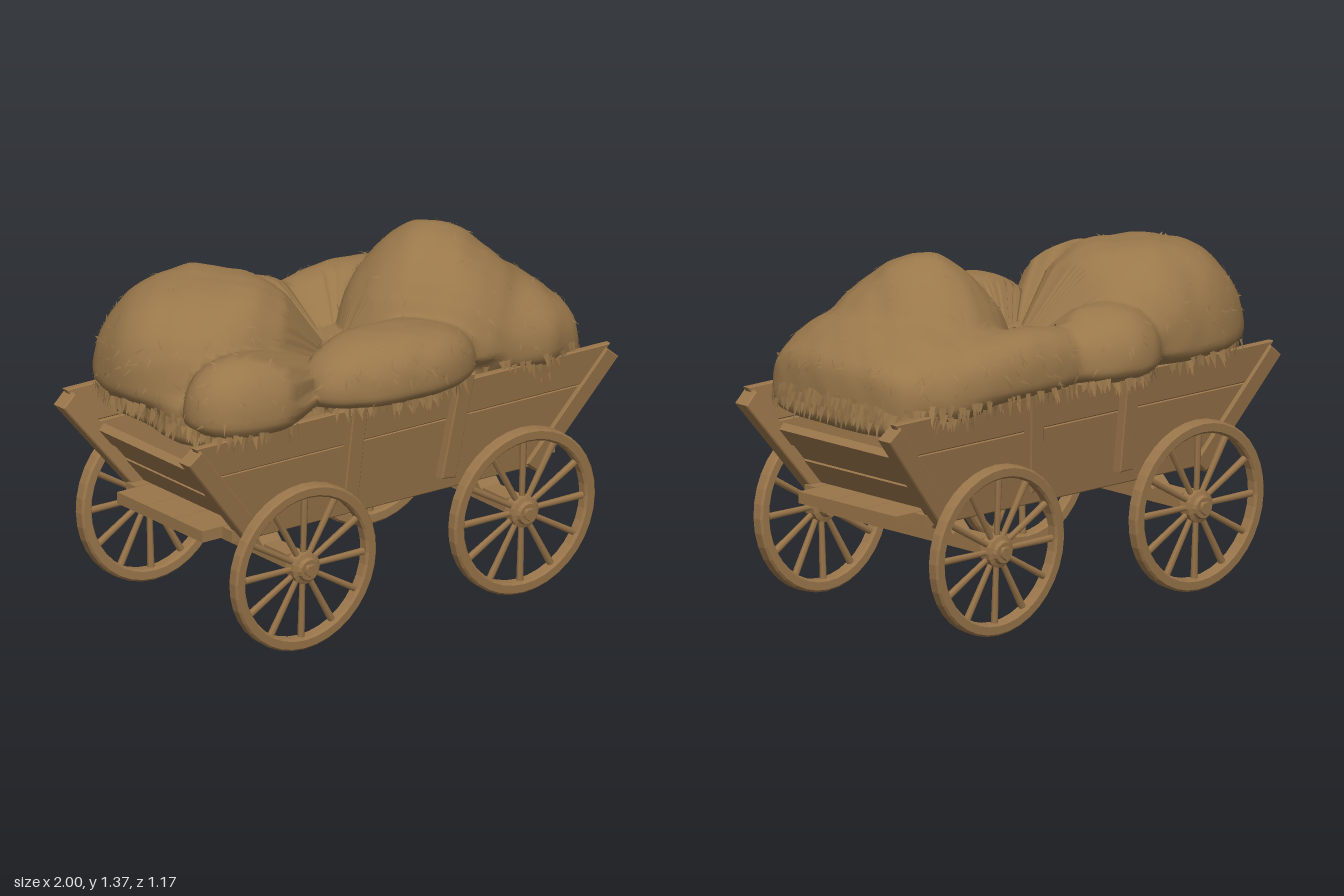
import * as THREE from 'three';
import { mergeVertices } from 'three/addons/utils/BufferGeometryUtils.js';

const wood = new THREE.MeshStandardMaterial({ color: 0x99754a });
wood.name = 'wood';
const hay = new THREE.MeshStandardMaterial({ color: 0x9a784b, side: THREE.DoubleSide });
hay.name = 'hay';

let seed = 7;
const rnd = () => (seed = (seed * 16807) % 2147483647) / 2147483647;

function add(parent, name, geo, mat = wood) {
  const m = new THREE.Mesh(geo, mat);
  m.name = name;
  parent.add(m);
  return m;
}

// Upright board drawn in x/y, leaning outward with height on the given side
function leaningBoard(points, thick, offset, side) {
  const shape = new THREE.Shape(points.map(p => new THREE.Vector2(p[0], p[1])));
  const b = 0.005;
  const geo = new THREE.ExtrudeGeometry(shape, { depth: thick - 2 * b, bevelSize: b, bevelOffset: -b, bevelThickness: b, bevelSegments: 1 });
  geo.translate(0, 0, b - thick / 2);
  const p = geo.attributes.position;
  for (let i = 0; i < p.count; i++)
    p.setZ(i, p.getZ(i) + side * (0.338 + offset + 0.135 * (p.getY(i) - 0.43)));
  geo.computeVertexNormals();
  return geo;
}

// Straight bar outline between two points
function bar(x0, y0, x1, y1, w) {
  const l = Math.hypot(x1 - x0, y1 - y0);
  const nx = -(y1 - y0) / l * w / 2, ny = (x1 - x0) / l * w / 2;
  return [[x0 + nx, y0 + ny], [x0 - nx, y0 - ny], [x1 - nx, y1 - ny], [x1 + nx, y1 + ny]];
}

function makeWheel() {
  const g = new THREE.Group();
  g.name = 'wheel';
  // Rim
  const ring = new THREE.Shape().absarc(0, 0, 0.328, 0, Math.PI * 2);
  ring.holes.push(new THREE.Path().absarc(0, 0, 0.281, 0, Math.PI * 2, true));
  const rim = new THREE.ExtrudeGeometry(ring, { depth: 0.036, bevelSize: 0.008, bevelOffset: -0.008, bevelThickness: 0.008, bevelSegments: 1, curveSegments: 18 });
  rim.translate(0, 0, -0.018);
  add(g, 'rim', rim);
  // Spokes
  for (let i = 0; i < 12; i++) {
    const s = new THREE.CylinderGeometry(0.014, 0.011, 0.25, 6);
    s.translate(0, 0.165, 0);
    s.rotateZ(i * Math.PI / 6);
    add(g, 'spoke', s);
  }
  // Hub and axle nut
  const profile = [[0, -0.06], [0.036, -0.06], [0.042, -0.03], [0.062, -0.024], [0.062, 0.024], [0.046, 0.03], [0.04, 0.045], [0, 0.045]];
  const hub = new THREE.LatheGeometry(profile.map(p => new THREE.Vector2(...p)), 16).toNonIndexed();
  hub.computeVertexNormals();
  add(g, 'hub', hub.rotateX(Math.PI / 2));
  add(g, 'axleNut', new THREE.CylinderGeometry(0.026, 0.03, 0.02, 5).rotateX(Math.PI / 2).translate(0, 0, 0.048));
  return g;
}

// Hay mounds that melt together: centre, radii (x, up, down, z), squareness
const mounds = [
  [[0, 0.86, 0], [0.84, 0.13, 0.1, 0.37], 5],           // bed
  [[-0.52, 0.95, -0.14], [0.39, 0.36, 0.1, 0.37], 2.3], // left back
  [[-0.67, 0.95, 0.34], [0.25, 0.22, 0.08, 0.17], 2.3], // left front
  [[-0.03, 0.96, 0.36], [0.36, 0.18, 0.08, 0.2], 2.5],  // middle front
  [[0.41, 0.95, 0.04], [0.37, 0.405, 0.1, 0.38], 1.8],  // peak
  [[0.6, 0.92, -0.01], [0.28, 0.25, 0.12, 0.46], 2.4],  // right end
  [[0.73, 0.88, 0], [0.17, 0.19, 0.11, 0.39], 4],       // right end drape
  [[-0.13, 0.95, -0.38], [0.22, 0.2, 0.08, 0.2], 2.2],  // middle back
  [[0.32, 0.95, -0.35], [0.4, 0.17, 0.08, 0.15], 2.5],  // right back
];

// Blended mound field, positive inside the hay
function field(v) {
  let sum = 0;
  for (const [c, r, p] of mounds) {
    const dy = v.y - c[1];
    const n = (Math.abs((v.x - c[0]) / r[0]) ** p + Math.abs(dy / (dy > 0 ? r[1] : r[2])) ** p + Math.abs((v.z - c[2]) / r[3]) ** p) ** (1 / p);
    sum += Math.exp(-22 * (n - 1));
  }
  const { x, y, z } = v;
  return Math.log(sum + 1e-30)
    + 0.7 * Math.sin(9 * x + 5 * z + 1) * Math.sin(8 * z - 6 * y) + 0.35 * Math.sin(19 * x - 9 * y) * Math.sin(17 * z + 7 * x)
    + 0.12 * Math.sin(47 * x + 20 * y) * Math.sin(43 * z - 30 * y);
}

// Outermost hay point from the middle of the load in direction d
const core = new THREE.Vector3(0, 0.9, 0);
function hayPoint(d) {
  const at = t => core.clone().addScaledVector(d, t);
  let t = 1.15;
  while (t > 0.04 && field(at(t)) < 0) t -= 0.02;
  let lo = t, hi = t + 0.02;
  for (let i = 0; i < 7; i++) {
    const mid = (lo + hi) / 2;
    if (field(at(mid)) < 0) hi = mid; else lo = mid;
  }
  return at(lo);
}

function hayNormal(v) {
  const e = 0.01, f = field(v);
  const step = (x, y, z) => f - field(new THREE.Vector3(v.x + x, v.y + y, v.z + z));
  return new THREE.Vector3(step(e, 0, 0), step(0, e, 0), step(0, 0, e)).normalize();
}

function hayGeometry() {
  let geo = new THREE.SphereGeometry(1, 180, 120);
  geo.deleteAttribute('uv');
  geo.deleteAttribute('normal');
  geo = mergeVertices(geo);
  const p = geo.attributes.position, d = new THREE.Vector3();
  for (let i = 0; i < p.count; i++) {
    const q = hayPoint(d.fromBufferAttribute(p, i).normalize());
    p.setXYZ(i, q.x, q.y, q.z);
  }
  geo.computeVertexNormals();
  return geo;
}

// Loose stalks lying on the hay, or a fringe hanging from its rim
function strawGeometry(count, fringe) {
  const out = [];
  for (let i = 0; i < count; i++) {
    // even spread over the long rectangular load
    const ang = rnd() * Math.PI * 2;
    const reach = fringe ? 1 : Math.sqrt(rnd());
    const d = new THREE.Vector3(
      Math.cos(ang) * 0.9 * reach,
      fringe ? -0.06 + rnd() * 0.08 : 0.35 * (1.05 - reach) + rnd() * 0.1,
      Math.sin(ang) * 0.6 * reach).normalize();
    const base = hayPoint(d);
    const n = hayNormal(base);
    const dir = fringe
      ? new THREE.Vector3(d.x * 0.15 + (rnd() - 0.5) * 0.4, -1, d.z * 0.15 + (rnd() - 0.5) * 0.4).normalize()
      : new THREE.Vector3(rnd() - 0.5, rnd() - 0.5, rnd() - 0.5).cross(n).normalize().addScaledVector(n, 0.2);
    const across = new THREE.Vector3().crossVectors(dir, n).normalize().multiplyScalar(fringe ? 0.012 : 0.005);
    const tip = base.clone().addScaledVector(dir, fringe ? 0.03 + rnd() * 0.04 : 0.025 + rnd() * 0.025);
    base.addScaledVector(n, 0.002);
    out.push(...base.clone().add(across), ...base.clone().sub(across), ...tip);
  }
  const geo = new THREE.BufferGeometry();
  geo.setAttribute('position', new THREE.Float32BufferAttribute(out, 3));
  geo.computeVertexNormals();
  return geo;
}

export function createModel() {
  const model = new THREE.Group();
  model.name = 'hayCart';

  // Floor: three long planks forming the end ledges, two short outer ones
  for (let i = -2; i <= 2; i++) {
    const outer = Math.abs(i) === 2;
    const w = outer ? 0.06 : 0.176;
    const z = outer ? Math.sign(i) * 0.3 : i * 0.178;
    add(model, 'floorPlank', new THREE.BoxGeometry(outer ? 1.46 : 1.64, 0.045, w).translate(0, 0.456, z));
  }

  // Side walls, stakes and corner posts
  const endX = y => 0.64 + (y - 0.45) * 0.76;
  for (const side of [-1, 1]) {
    [[0.44, 0.735], [0.737, 0.88]].forEach(([a, b], i) =>
      add(model, 'sidePlank', leaningBoard([[-endX(a), a], [endX(a), a], [endX(b), b], [-endX(b), b]], 0.032, i * 0.004, side)));
    add(model, 'sideStake', leaningBoard(bar(-0.23, 0.5, -0.222, 0.92, 0.068), 0.045, 0.034, side));
    add(model, 'sideStake', leaningBoard(bar(0.225, 0.5, 0.275, 0.92, 0.068), 0.045, 0.034, side));
    for (const end of [-1, 1])
      add(model, 'cornerPost', leaningBoard(end > 0 ? bar(0.64, 0.44, 0.972, 0.845, 0.075) : bar(-0.972, 0.845, -0.64, 0.44, 0.075), 0.066, 0, side));
  }

  // Sloping end boards
  for (const end of [-1, 1]) {
    [[0.535, 0.12, 0.03], [0.62, 0.085, 0.02], [0.685, 0.085, 0.034]].forEach(([y, h, t]) => {
      const b = add(model, 'endBoard', new THREE.BoxGeometry(t, h, 0.64 + (y - 0.5) * 0.28));
      b.position.set(end * (0.62 + (y - 0.45) * 0.8), y, 0);
      b.rotation.z = -end * 0.67;
    });
  }

  // Axles, bolsters and wheels
  for (const x of [-0.512, 0.506]) {
    add(model, 'axle', new THREE.BoxGeometry(0.075, 0.056, 0.86).translate(x, 0.348, 0));
    const trap = new THREE.Shape([[-0.29, 0.37], [0.29, 0.37], [0.22, 0.436], [-0.22, 0.436]].map(p => new THREE.Vector2(...p)));
    const bolster = new THREE.ExtrudeGeometry(trap, { depth: 0.09, bevelEnabled: false });
    add(model, 'bolster', bolster.translate(0, 0, -0.045).rotateY(Math.PI / 2).translate(x, 0, 0));
    for (const side of [-1, 1]) {
      const holder = new THREE.Group();
      holder.name = side > 0 ? 'frontSideWheel' : 'backSideWheel';
      const wheel = makeWheel();
      if (side < 0) wheel.rotation.y = Math.PI;
      holder.add(wheel);
      holder.position.set(x, 0.335, side * 0.48);
      holder.rotation.x = side * 0.04;
      model.add(holder);
    }
  }

  // Hay load
  add(model, 'hayLoad', hayGeometry(), hay);
  add(model, 'looseStraw', strawGeometry(700, false), hay);
  add(model, 'strawFringe', strawGeometry(900, true), hay);
  return model;
}
